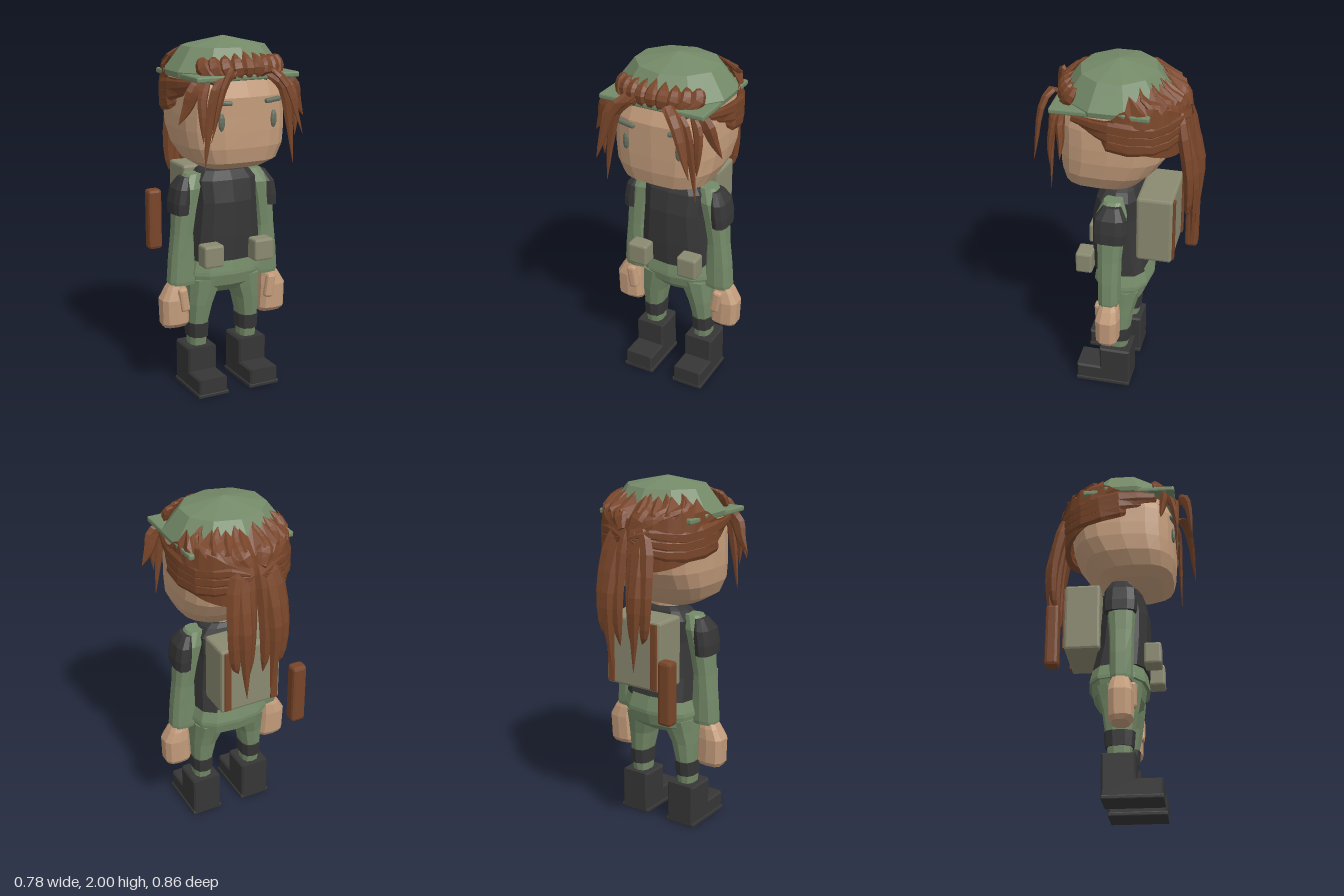
import * as THREE from 'three';
import { RoundedBoxGeometry } from 'three/addons/geometries/RoundedBoxGeometry.js';

const V = (x, y, z) => new THREE.Vector3(x, y, z);
const mat = (name, color, side = THREE.FrontSide) => {
  const m = new THREE.MeshStandardMaterial({ color, side, flatShading: true });
  m.name = name;
  return m;
};

// Skin a list of rings; closed rings get flat caps
function skin(rings, closed = true) {
  const pos = [], n = rings[0].length;
  const tri = (a, b, c) => pos.push(...a.toArray(), ...b.toArray(), ...c.toArray());
  for (let i = 0; i + 1 < rings.length; i++) {
    for (let j = 0; j < (closed ? n : n - 1); j++) {
      const k = (j + 1) % n, [a, b] = [rings[i], rings[i + 1]];
      tri(a[j], a[k], b[k]);
      tri(a[j], b[k], b[j]);
    }
  }
  if (closed) {
    const first = rings[0], last = rings[rings.length - 1];
    for (let j = 1; j + 1 < n; j++) {
      tri(first[0], first[j + 1], first[j]);
      tri(last[0], last[j], last[j + 1]);
    }
  }
  const g = new THREE.BufferGeometry();
  g.setAttribute('position', new THREE.Float32BufferAttribute(pos, 3));
  g.computeVertexNormals();
  return g;
}

// Stack of horizontal superellipse rings, rows are [y, centreX, radiusX, zFront, zBack]
const pw = (v, p) => Math.sign(v) * Math.pow(Math.abs(v), 2 / p);
function stack(rows, n = 10, p = 2.6, s = 1) {
  return skin(rows.map(([y, cx, rx, zf, zb]) => Array.from({ length: n }, (_, j) => {
    const a = j / n * Math.PI * 2;
    return V(cx * s + rx * pw(Math.sin(a), p), y, (zf + zb) / 2 + (zf - zb) / 2 * pw(Math.cos(a), p));
  })));
}

// Tapered hair lock along a curve, ending in a point
function lock(points, w, h, hint, steps = 8) {
  const curve = new THREE.CatmullRomCurve3(points.map(q => V(...q)));
  const rings = [];
  for (let i = 0; i <= steps; i++) {
    const t = i / steps, c = curve.getPoint(t), d = curve.getTangent(t);
    const s = V(...hint).addScaledVector(d, -V(...hint).dot(d)).normalize();
    const n = d.clone().cross(s);
    const f = Math.max(0.02, Math.min(1, 0.45 + 2 * t) * (1 - t * t * t));
    rings.push(Array.from({ length: 6 }, (_, j) => {
      const a = j / 6 * Math.PI * 2;
      return c.clone().addScaledVector(s, w * f * Math.cos(a)).addScaledVector(n, h * f * Math.sin(a));
    }));
  }
  return skin(rings);
}

// Point on the sloping side of the helmet, f runs from rim to crown
const onHelmet = (a, f, off) => [
  Math.sin(a) * (0.33 - 0.095 * f + off), 1.825 + 0.125 * f + off * 0.6,
  0.03 + Math.cos(a) * (0.30 - 0.093 * f + off)];

export function createModel() {
  const root = new THREE.Group();
  const green = mat('uniform green', 0x748a68), dark = mat('charcoal', 0x363636);
  const skinTone = mat('skin', 0xc39c7b), brown = mat('hair brown', 0x784529, THREE.DoubleSide);
  const tan = mat('canvas', 0x8a8970), eye = mat('eye grey green', 0x667060);
  const add = (name, geo, m, parent = root) => {
    const mesh = new THREE.Mesh(geo, m);
    mesh.name = name;
    parent.add(mesh);
    return mesh;
  };
  const box = (name, w, h, d, x, y, z, m, r = 0.012) => {
    const mesh = add(name, new RoundedBoxGeometry(w, h, d, 1, r), m);
    mesh.position.set(x, y, z);
    return mesh;
  };

  // Body
  add('hips', stack([[0.565, 0, 0.13, 0.09, -0.09], [0.61, 0, 0.215, 0.13, -0.145],
    [0.70, 0, 0.225, 0.15, -0.165]], 12), green);
  add('jacketHem', stack([[0.68, 0, 0.235, 0.165, -0.175], [0.70, 0, 0.232, 0.163, -0.175],
    [0.78, 0, 0.207, 0.15, -0.155]], 12), green);
  add('vest', stack([[0.765, 0, 0.212, 0.165, -0.155], [0.90, 0, 0.20, 0.17, -0.125],
    [1.10, 0, 0.18, 0.17, -0.108], [1.22, 0, 0.185, 0.145, -0.10],
    [1.27, 0, 0.145, 0.115, -0.08], [1.29, 0, 0.11, 0.085, -0.06]], 12, 3), dark);
  add('neck', stack([[1.22, 0, 0.095, 0.09, -0.06], [1.34, 0, 0.10, 0.1, -0.06]], 10, 2), skinTone);

  // Limbs, mirrored
  const bootShape = new THREE.Shape([[-0.07, 0.02], [0.23, 0.02], [0.23, 0.10], [0.09, 0.10],
    [0.09, 0.24], [-0.07, 0.24]].map(q => new THREE.Vector2(...q)));
  for (const s of [1, -1]) {
    add('leg', stack([[0.22, 0.16, 0.05, 0.07, -0.05], [0.38, 0.16, 0.057, 0.088, -0.068],
      [0.50, 0.15, 0.073, 0.11, -0.085], [0.57, 0.135, 0.087, 0.12, -0.105],
      [0.65, 0.12, 0.102, 0.13, -0.13]], 10, 2.6, s), green);
    add('legBand', stack([[0.30, 0.16, 0.06, 0.088, -0.068], [0.385, 0.16, 0.064, 0.095, -0.075]],
      10, 2.6, s), dark);
    const bootGeo = new THREE.ExtrudeGeometry(bootShape, { depth: 0.155, bevelEnabled: true,
      bevelSize: 0.01, bevelThickness: 0.01, bevelSegments: 1 });
    bootGeo.translate(0, 0, -0.0775).rotateY(-Math.PI / 2);
    add('boot', bootGeo, dark).position.x = s * 0.162;
    box('sole', 0.19, 0.024, 0.322, s * 0.162, 0.012, 0.081, dark, 0.006);
    add('sleeve', stack([[0.63, 0.26, 0.082, 0.09, -0.03], [0.65, 0.26, 0.084, 0.093, -0.033],
      [0.78, 0.26, 0.074, 0.095, -0.035], [0.92, 0.257, 0.06, 0.098, -0.038],
      [1.05, 0.243, 0.065, 0.105, -0.05], [1.18, 0.22, 0.07, 0.11, -0.06],
      [1.255, 0.185, 0.045, 0.075, -0.03]], 10, 2.6, s), green);
    add('shoulderPad', stack([[1.04, 0.275, 0.045, 0.115, -0.067], [1.10, 0.272, 0.047, 0.118, -0.07],
      [1.18, 0.257, 0.049, 0.112, -0.064], [1.24, 0.232, 0.032, 0.07, -0.03]], 10, 2.8, s), dark);
    add('hand', stack([[0.385, 0.305, 0.07, 0.075, -0.02], [0.41, 0.308, 0.082, 0.098, -0.035],
      [0.55, 0.314, 0.08, 0.10, -0.04], [0.61, 0.30, 0.06, 0.085, -0.03],
      [0.66, 0.282, 0.045, 0.07, -0.01]], 10, 2.8, s), skinTone);
    const thumb = box('thumb', 0.055, 0.14, 0.045, s * 0.275, 0.55, 0.088, skinTone, 0.015);
    thumb.rotation.z = s * -0.15;
    box('beltPouch', 0.118, 0.125, 0.095, s * 0.155, 0.822, 0.193, tan);
    box('packStrap', 0.04, 0.37, 0.012, s * 0.143, 1.075, -0.305, brown, 0.003);
  }

  // Backpack and the baton beside it
  box('backpack', 0.36, 0.395, 0.20, 0, 1.073, -0.20, tan, 0.015);
  box('baton', 0.085, 0.36, 0.075, -0.263, 0.913, -0.347, brown, 0.018);

  // Head and face
  add('head', stack([[1.29, 0, 0.11, 0.15, -0.02], [1.31, 0, 0.18, 0.25, -0.07],
    [1.35, 0, 0.245, 0.31, -0.12], [1.43, 0, 0.287, 0.327, -0.20], [1.52, 0, 0.30, 0.33, -0.262],
    [1.60, 0, 0.30, 0.33, -0.28], [1.70, 0, 0.293, 0.33, -0.27], [1.82, 0, 0.27, 0.28, -0.22]],
  20, 3), skinTone);
  for (const s of [1, -1]) {
    const e = add('eye', new THREE.SphereGeometry(1, 8, 6), eye);
    e.scale.set(0.02, 0.048, 0.014);
    e.position.set(s * 0.155, 1.577, 0.318);
    const brow = box('eyebrow', 0.10, 0.026, 0.03, s * 0.147, 1.678, 0.32, eye, 0.01);
    brow.rotation.set(0, s * 0.15, s * 0.08);
  }

  // Helmet with square brim
  add('helmet', stack([[1.80, 0, 0.325, 0.325, -0.265], [1.825, 0, 0.33, 0.33, -0.27],
    [1.95, 0, 0.235, 0.237, -0.177], [2.0, 0, 0.001, 0.031, 0.029]], 10, 2), green);
  box('brim', 0.605, 0.03, 0.525, 0, 1.805, 0.0725, green, 0.008);

  // Hair wrapped round the sides and back, with a ragged top edge over the helmet
  const hair = new THREE.Group();
  hair.name = 'hair';
  root.add(hair);
  const columns = [], N = 36;
  for (let i = 0; i <= N; i++) {
    const a = (48 + 264 * i / N) * Math.PI / 180;
    const at = (r, y) => V(0.325 * r * pw(Math.sin(a), 2.4), y, 0.335 * r * pw(Math.cos(a), 2.2));
    const z = at(1, 0).z, low = 1.66 + 0.38 * z;
    const back = THREE.MathUtils.clamp((0.04 - z) / 0.2, 0, 1);
    const tip = V(...onHelmet(a, back * (i % 2 ? 0.72 : 0.38), 0.014));
    const top = at(1, 1.79).lerp(tip, back);
    columns.push([at(0.88, low + 0.02), at(0.97, low), at(1, (low + top.y) / 2),
      at(0.97, top.y - 0.04 - 0.03 * back), top]);
  }
  add('hairWrap', skin(columns, false), brown, hair);

  for (const s of [1, -1]) {
    // Swept strands gathered at the back
    for (let k = 0; k < 3; k++) {
      const y = 1.77 - k * 0.045;
      add('sweptLock', lock([[s * 0.28, y, 0.22 - k * 0.08], [s * 0.322, y - 0.02, 0.02],
        [s * 0.27, y - 0.05, -0.20], [s * 0.13, y - 0.03, -0.32], [s * 0.02, 1.72, -0.365]],
      0.045, 0.014, [0, 1, 0]), brown, hair);
      const a = Math.PI - s * (0.2 + k * 0.33);
      add('crownLock', lock([[s * 0.03, 1.76, -0.35], [s * (0.06 + k * 0.045), 1.83, -0.315 + k * 0.025],
        onHelmet(a, 0.3, 0.015), onHelmet(a, 0.85, 0.005)], 0.05, 0.02, [1, 0, 0]), brown, hair);
    }
    // Ponytail
    for (const [x, z, tip] of [[0.05, -0.365, 1.12], [0.09, -0.40, 1.0], [0.14, -0.375, 1.16]]) {
      add('ponytailLock', lock([[s * x * 0.4, 1.80, -0.30], [s * x * 0.8, 1.68, -0.33],
        [s * x, 1.42, z], [s * x * 0.95, 1.22, z], [s * x * 0.8, tip, z + 0.01]],
      0.05, 0.035, [1, 0, 0], 10), brown, hair);
    }
    // Long locks framing the face
    add('faceLock', lock([[s * 0.07, 1.80, 0.315], [s * 0.12, 1.84, 0.365], [s * 0.19, 1.76, 0.405],
      [s * 0.235, 1.62, 0.42], [s * 0.27, 1.5, 0.43]], 0.036, 0.016, [0.8, 0, -0.6]), brown, hair);
    add('faceLock', lock([[s * 0.10, 1.82, 0.325], [s * 0.19, 1.76, 0.34], [s * 0.235, 1.58, 0.34],
      [s * 0.265, 1.33, 0.343]], 0.034, 0.018, [1, 0, 0]), brown, hair);
    add('sideLock', lock([[s * 0.23, 1.80, 0.27], [s * 0.295, 1.74, 0.275], [s * 0.325, 1.66, 0.265],
      [s * 0.375, 1.57, 0.26]], 0.045, 0.025, [1, 0, 0]), brown, hair);
    add('sideLock', lock([[s * 0.22, 1.80, 0.30], [s * 0.265, 1.72, 0.32], [s * 0.275, 1.60, 0.34],
      [s * 0.272, 1.48, 0.345]], 0.03, 0.02, [1, 0, 0]), brown, hair);
  }

  // Fringe rolled up over the helmet front
  for (let i = -4; i <= 4; i++) {
    const a = i * 0.2, f = 0.85 - Math.abs(i) * 0.07;
    add('fringeLock', lock([[Math.sin(a) * 0.25, 1.80 - Math.abs(i) * 0.005, 0.322 - 0.02 * a * a],
      onHelmet(a * 0.95, 0.15, 0.012), onHelmet(a, 0.45, 0.018), onHelmet(a, f, 0.006)],
    0.042, 0.026, [Math.cos(a), 0, -Math.sin(a)], 6), brown, hair);
  }
  return root;
}
